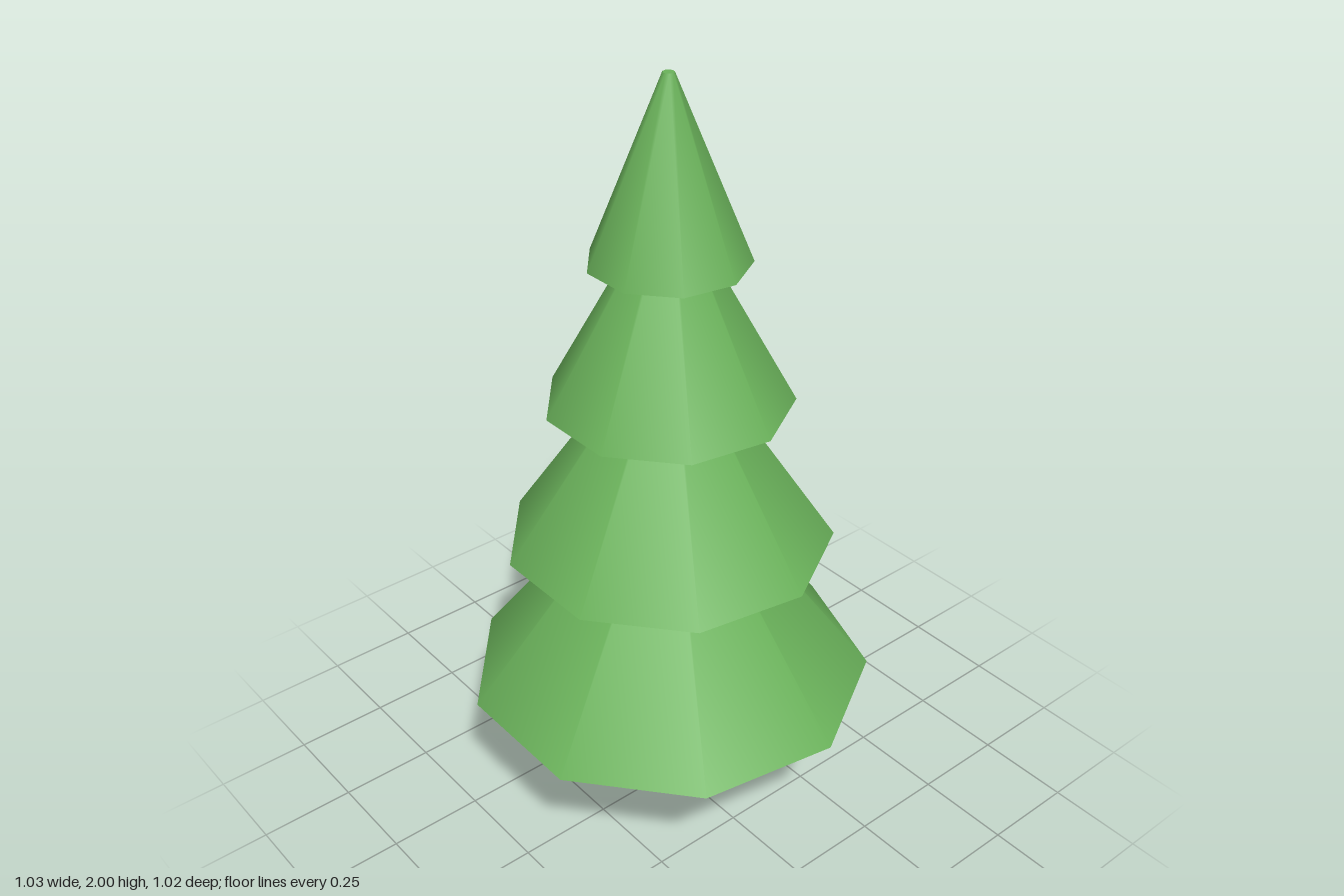
import * as THREE from 'three';

export function createModel() {
  const tree = new THREE.Group();
  tree.name = 'pineTree';

  const needleGreen = new THREE.MeshStandardMaterial({ color: 0x6bb35b });
  needleGreen.name = 'needleGreen';
  const barkBrown = new THREE.MeshStandardMaterial({ color: 0x80563f, flatShading: true });
  barkBrown.name = 'barkBrown';

  const centreZ = 0.015; // offset that centres the nine-sided tiers
  const addPart = (name, geometry, material, bottom, height) => {
    const mesh = new THREE.Mesh(geometry, material);
    mesh.name = name;
    mesh.position.set(0, bottom + height / 2, centreZ);
    tree.add(mesh);
  };

  // Octagonal trunk with a flat side facing forward
  addPart('trunk', new THREE.CylinderGeometry(0.0565, 0.0565, 0.5, 8, 1, false, Math.PI / 8), barkBrown, 0, 0.5);

  // Overlapping smooth cones with a corner pointing back: bottom y, top y, bottom radius
  const tiers = [
    [0.395, 1.06, 0.525],
    [0.81, 1.4, 0.415],
    [1.2, 1.725, 0.305],
    [1.56, 2, 0.195],
  ];
  tiers.forEach(([bottom, top, radius], i) => {
    const height = top - bottom;
    const cone = new THREE.CylinderGeometry(0.014, radius, height, 9, 1, false, Math.PI);
    addPart(`foliageTier${i + 1}`, cone, needleGreen, bottom, height);
  });

  return tree;
}
